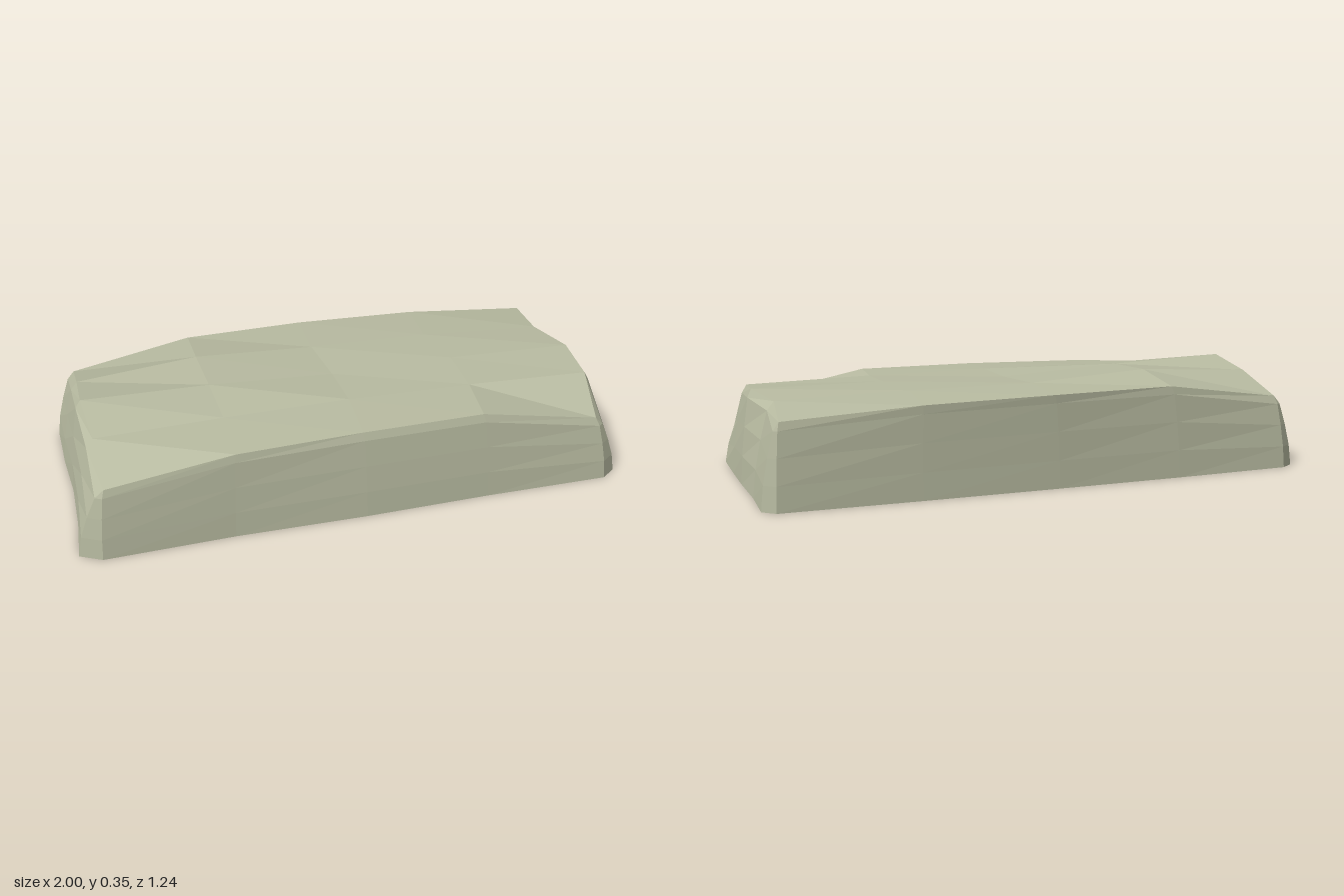
import * as THREE from 'three';

// Ends of the top face, from back to front: [x, z]
const LEFT_END = [[-0.74, -0.58], [-0.79, -0.38], [-0.84, -0.19], [-0.865, -0.01], [-0.91, 0.2]];
const RIGHT_END = [[0.95, -0.19], [0.87, 0.02], [0.86, 0.22], [0.8, 0.4], [0.72, 0.57]];

// Heights of the top face, rows back to front, columns left to right
const HEIGHTS = [
  [0.25, 0.312, 0.31, 0.302, 0.275],
  [0.315, 0.342, 0.318, 0.315, 0.302],
  [0.35, 0.336, 0.312, 0.318, 0.315],
  [0.305, 0.312, 0.316, 0.312, 0.302],
  [0.245, 0.3, 0.309, 0.309, 0.226],
];

// Ground outline, five points per side: front, right, back, left
const BASE = [
  [-0.94, 0.215], [-0.52, 0.305], [-0.09, 0.415], [0.33, 0.51], [0.75, 0.615],
  [0.81, 0.59], [0.86, 0.4], [0.905, 0.22], [0.95, 0.02], [1, -0.155],
  [0.97, -0.2], [0.53, -0.315], [0.08, -0.427], [-0.35, -0.53], [-0.76, -0.62],
  [-0.815, -0.6], [-0.86, -0.4], [-0.893, -0.21], [-0.945, -0.01], [-1, 0.16],
];

function topPoint(row, col) {
  const u = col / 4;
  const [lx, lz] = LEFT_END[row];
  const [rx, rz] = RIGHT_END[row];
  const bow = 0.045 * Math.sin(Math.PI * u) * (1 - row / 4);
  return new THREE.Vector3(lx + (rx - lx) * u, HEIGHTS[row][col], lz + (rz - lz) * u - bow);
}

// Unshared triangles keep every facet flat
function facets(build) {
  const positions = [];
  const tri = (a, b, c) => {
    const area = b.clone().sub(a).cross(c.clone().sub(a)).length();
    if (area > 1e-8) [a, b, c].forEach((p) => positions.push(p.x, p.y, p.z));
  };
  const quad = (a, b, c, d) => { tri(a, b, c); tri(a, c, d); };
  build(tri, quad);
  const geometry = new THREE.BufferGeometry();
  geometry.setAttribute('position', new THREE.Float32BufferAttribute(positions, 3));
  geometry.computeVertexNormals();
  return geometry;
}

export function createModel() {
  const group = new THREE.Group();
  group.name = 'stoneSlab';
  const stone = new THREE.MeshStandardMaterial({ color: 0xb9bca2 });
  stone.name = 'pale stone';

  const add = (name, build) => {
    const mesh = new THREE.Mesh(facets(build), stone);
    mesh.name = name;
    group.add(mesh);
  };

  // Rim of the top face, matching the outline (corners repeat to form chamfers)
  const steps = [0, 1, 2, 3, 4];
  const rim = [
    ...steps.map((i) => topPoint(4, i)),
    ...steps.map((i) => topPoint(4 - i, 4)),
    ...steps.map((i) => topPoint(0, 4 - i)),
    ...steps.map((i) => topPoint(i, 0)),
  ];
  const count = rim.length;

  // Ring on the flank: t = 0 on the ground, t = 1 at the shoulder
  const ring = (t) => rim.map((p, i) => {
    const inward = 0.7 * Math.pow(t, 1.5);
    const [bx, bz] = BASE[i];
    return new THREE.Vector3(
      bx + (p.x - bx) * inward, (p.y - 0.028) * t, bz + (p.z - bz) * inward);
  });
  const rings = [0, 0.33, 0.67, 1].map(ring);

  const band = (quad, lower, upper) => {
    for (let i = 0; i < count; i++) {
      const n = (i + 1) % count;
      quad(lower[i], lower[n], upper[n], upper[i]);
    }
  };

  // Uneven top
  add('topFace', (tri, quad) => {
    for (let r = 0; r < 4; r++) {
      for (let c = 0; c < 4; c++) {
        quad(topPoint(r, c), topPoint(r + 1, c), topPoint(r + 1, c + 1), topPoint(r, c + 1));
      }
    }
  });

  // Worn edge between top and flanks
  add('bevel', (tri, quad) => band(quad, rings[3], rim));

  // Four flanks with chamfered corners
  add('sides', (tri, quad) => {
    for (let k = 0; k < 3; k++) band(quad, rings[k], rings[k + 1]);
  });

  // Flat underside
  add('underside', (tri) => {
    const centre = new THREE.Vector3();
    for (let i = 0; i < count; i++) tri(centre, rings[0][(i + 1) % count], rings[0][i]);
  });

  return group;
}
